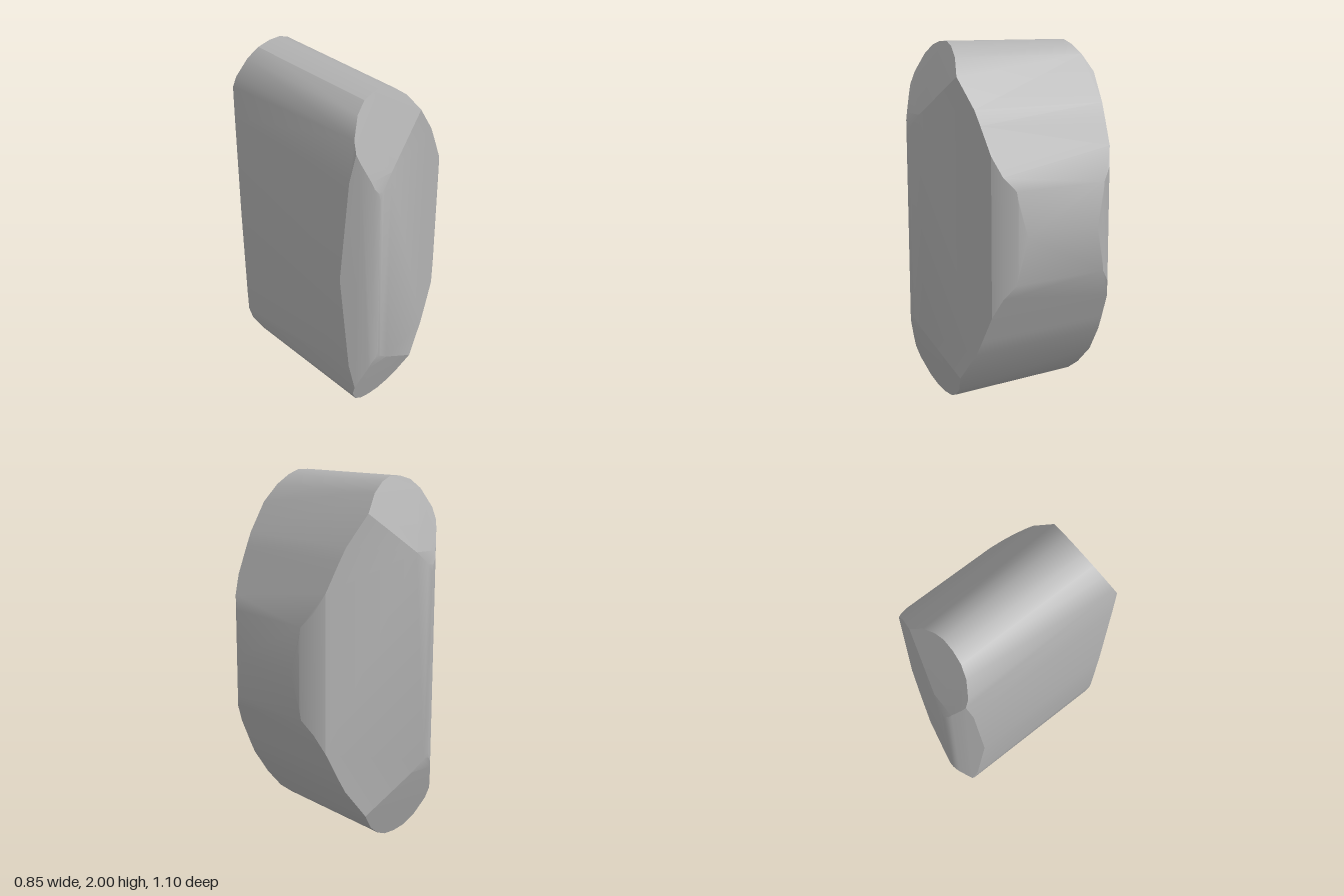
import * as THREE from 'three';
import { ConvexGeometry } from 'three/addons/geometries/ConvexGeometry.js';
import { toCreasedNormals } from 'three/addons/utils/BufferGeometryUtils.js';

// Upper half of the outline in (x, y - 1), from left to right
const outline = [
  [-0.425, 0], [-0.395, 0.6], [-0.365, 0.83], [-0.31, 0.93], [-0.25, 0.98], [-0.18, 1],
  [-0.11, 1], [-0.05, 0.975], [0.02, 0.92], [0.21, 0.66], [0.25, 0.58], [0.405, 0.25], [0.425, 0],
];
// Half thickness across the width (x, z)
const widthProfile = [
  [-0.425, 0.41], [-0.36, 0.49], [-0.31, 0.538], [-0.28, 0.55], [-0.25, 0.545],
  [0.32, 0.39], [0.37, 0.35], [0.41, 0.28], [0.425, 0.23],
];
// Half thickness along the height (y - 1, z)
const heightProfile = [[0.45, 0.553], [0.54, 0.547], [0.61, 0.527], [1, 0.39]];

// Each profile edge becomes a cutting plane, mirrored across the given axis
function edgePlanes(profile, place, mirror) {
  const planes = [];
  for (let i = 0; i + 1 < profile.length; i++) {
    const [a, b] = profile[i], [c, d] = profile[i + 1];
    const n = new THREE.Vector2(b - d, c - a).normalize();
    const w = n.x * a + n.y * b;
    const normal = place(n.x, n.y);
    planes.push({ n: normal, w }, { n: normal.clone().multiply(mirror), w });
  }
  return planes;
}

// Corners of the solid lie where three planes meet inside all the others
function solidCorners(planes) {
  const corners = new Map();
  const p = new THREE.Vector3(), ab = new THREE.Vector3(), bc = new THREE.Vector3(), ca = new THREE.Vector3();
  for (let i = 0; i < planes.length; i++) for (let j = i + 1; j < planes.length; j++) {
    ab.crossVectors(planes[i].n, planes[j].n);
    for (let k = j + 1; k < planes.length; k++) {
      const det = ab.dot(planes[k].n);
      if (Math.abs(det) < 1e-6) continue;
      bc.crossVectors(planes[j].n, planes[k].n);
      ca.crossVectors(planes[k].n, planes[i].n);
      p.set(0, 0, 0).addScaledVector(bc, planes[i].w).addScaledVector(ca, planes[j].w)
        .addScaledVector(ab, planes[k].w).divideScalar(det);
      if (planes.some((q) => q.n.dot(p) > q.w + 1e-6)) continue;
      const key = p.toArray().map((v) => Math.round(v * 500)).join();
      if (!corners.has(key)) corners.set(key, p.clone());
    }
  }
  return [...corners.values()];
}

export function createModel() {
  const group = new THREE.Group();
  group.name = 'roundedBlock';
  const grey = new THREE.MeshStandardMaterial({ color: 0xb2b2b2 });
  grey.name = 'grey';

  const flipY = new THREE.Vector3(1, -1, 1), flipZ = new THREE.Vector3(1, 1, -1);
  const heightPlanes = edgePlanes(heightProfile, (u, v) => new THREE.Vector3(0, u, v), flipZ);
  const planes = [
    ...edgePlanes(outline, (u, v) => new THREE.Vector3(u, v, 0), flipY),
    ...edgePlanes(widthProfile, (u, v) => new THREE.Vector3(u, 0, v), flipZ),
    ...heightPlanes,
    ...heightPlanes.map((q) => ({ n: q.n.clone().multiply(flipY), w: q.w })),
  ];

  // Solid body with softened bevels and sharp rims
  const geometry = toCreasedNormals(new ConvexGeometry(solidCorners(planes)), 0.4);
  const body = new THREE.Mesh(geometry, grey);
  body.name = 'body';
  body.position.y = 1;
  group.add(body);
  return group;
}
